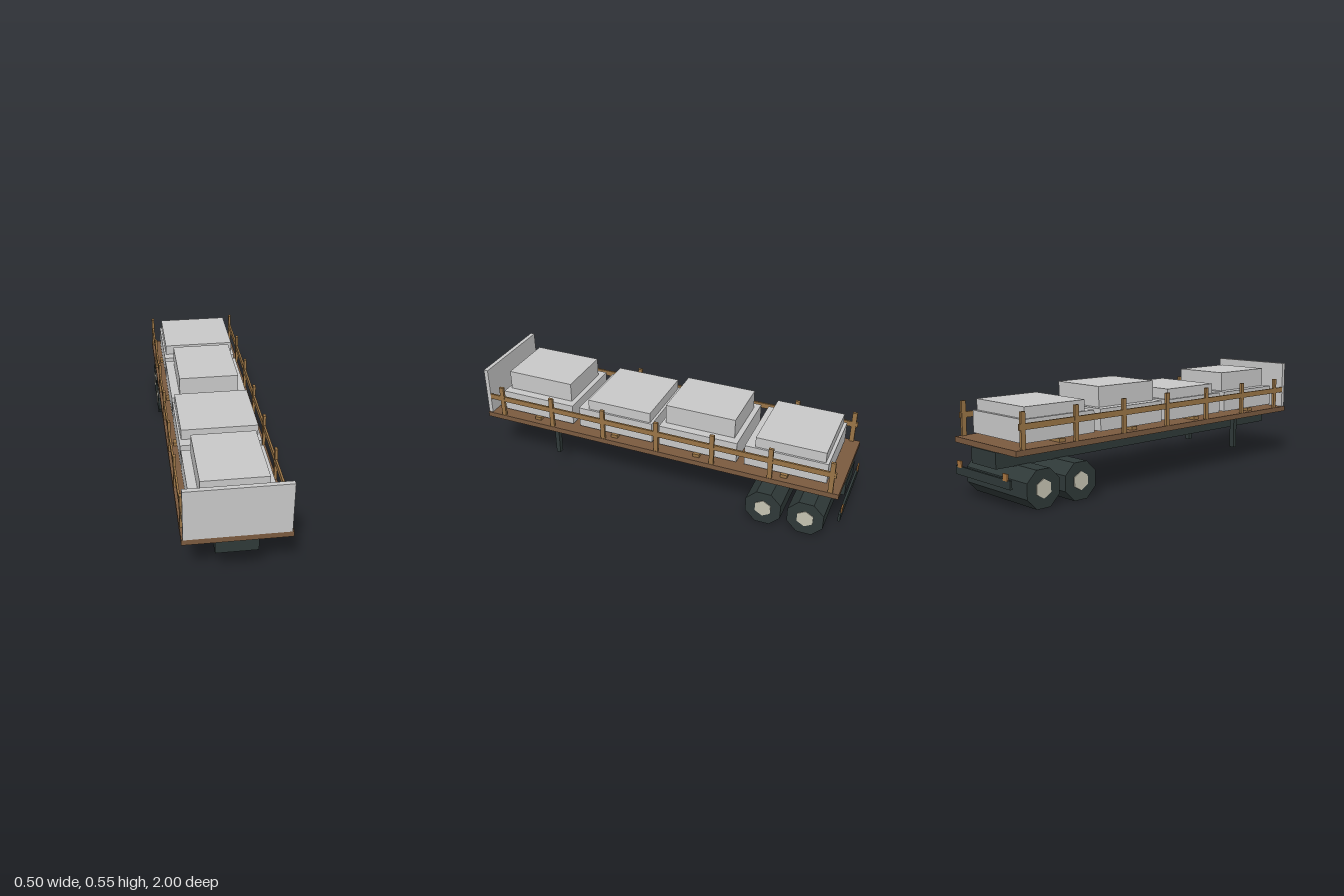
import * as THREE from 'three';

const flat = (name, color) => {
  const m = new THREE.MeshStandardMaterial({ color, flatShading: true });
  m.name = name;
  return m;
};

export function createModel() {
  const model = new THREE.Group();
  model.name = 'flatbedTrailer';
  const steel = flat('dark steel', 0x2f3938);
  const planks = flat('brown planks', 0x7a5a3f);
  const timber = flat('light timber', 0x9a7546);
  const grey = flat('pale grey', 0xc8c8c8);
  const hubPaint = flat('cream hub', 0xc6c3b2);
  const lampPaint = flat('amber lamp', 0xa8743f);

  const add = (name, geometry, material, x, y, z) => {
    const mesh = new THREE.Mesh(geometry, material);
    mesh.name = name;
    mesh.position.set(x, y, z);
    model.add(mesh);
  };
  // box given by its low and high limits on each axis
  const box = (name, material, [x0, x1], [y0, y1], [z0, z1]) =>
    add(name, new THREE.BoxGeometry(x1 - x0, y1 - y0, z1 - z0), material,
      (x0 + x1) / 2, (y0 + y1) / 2, (z0 + z1) / 2);
  // the same box on both sides
  const pair = (name, material, [x0, x1], y, z) => {
    box(name + 'Left', material, [x0, x1], y, z);
    box(name + 'Right', material, [-x1, -x0], y, z);
  };
  // cylinder lying along x
  const roller = (name, material, radius, width, sides, y, z) =>
    add(name, new THREE.CylinderGeometry(radius, radius, width, sides, 1, false, Math.PI / sides)
      .rotateZ(Math.PI / 2), material, 0, y, z);

  // Bed and frame
  box('deck', planks, [-0.252, 0.252], [0.26, 0.288], [-0.98, 1.0]);
  box('chassis', steel, [-0.1, 0.1], [0.182, 0.26], [-0.986, 0.98]);
  box('headboard', grey, [-0.245, 0.245], [0.288, 0.549], [0.977, 1.0]);
  pair('supportLeg', steel, [0.16, 0.189], [0.08, 0.26], [0.595, 0.619]);

  // Wheels: a full-width octagonal roller with a six-sided hub on each end
  for (const z of [-0.61, -0.83]) {
    roller('wheels', steel, 0.1, 0.496, 8, 0.0925, z);
    roller('hubs', hubPaint, 0.0465, 0.504, 6, 0.0935, z);
  }

  // Rear bumper and lamps
  box('rearBumper', steel, [-0.225, 0.225], [0.11, 0.152], [-0.998, -0.986]);
  pair('rearLamp', lampPaint, [0.172, 0.208], [0.146, 0.18], [-1.0, -0.993]);

  // Side stakes and rails
  for (let i = 0; i < 7; i++) {
    const z = 0.9 - i * 0.306;
    pair('stake', timber, [0.236, 0.25], [0.288, 0.46], [z - 0.012, z + 0.012]);
  }
  pair('rail', timber, [0.238, 0.248], [0.376, 0.405], [-0.957, 0.976]);

  // Cargo: crates on battens, each with a smaller crate on top
  const stacks = [
    { z: 0.70, w: 0.315, l: 0.376, top: 0.519, shift: 0.004 },
    { z: 0.235, w: 0.385, l: 0.356, top: 0.47, shift: -0.02 },
    { z: -0.23, w: 0.315, l: 0.376, top: 0.519, shift: 0.004 },
    { z: -0.695, w: 0.385, l: 0.356, top: 0.47, shift: -0.017 },
  ];
  for (const { z, w, l, top, shift } of stacks) {
    box('batten', timber, [-0.22, 0.22], [0.288, 0.305], [z - 0.018, z + 0.018]);
    box('lowerCrate', grey, [-0.203, 0.203], [0.304, 0.415], [z - 0.212, z + 0.212]);
    const c = z + shift;
    box('upperCrate', grey, [-w / 2, w / 2], [0.415, top], [c - l / 2, c + l / 2]);
  }
  return model;
}
